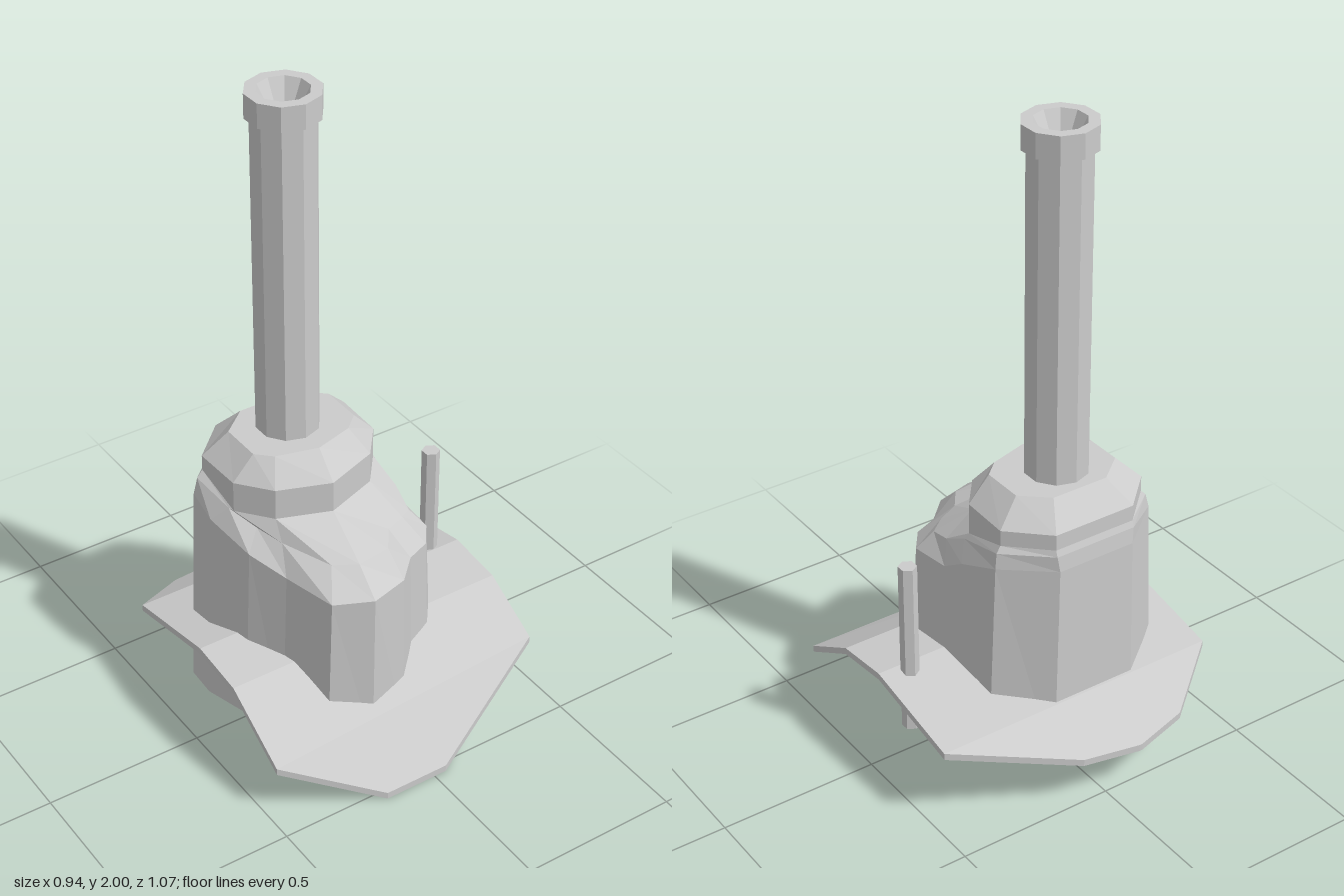
import * as THREE from 'three';

const material = new THREE.MeshStandardMaterial({ color: 0xcccccc, flatShading: true, side: THREE.DoubleSide });

function add(group, name, geometry) {
  const mesh = new THREE.Mesh(geometry, material);
  mesh.name = name;
  group.add(mesh);
  return mesh;
}

// Joins closed rings of [x, y, z] points into faceted walls, with optional end caps
function loft(rings, capStart, capEnd) {
  const positions = [];
  const tri = (a, b, c) => {
    const [p, q, r] = [a, b, c].map((v) => new THREE.Vector3(...v));
    if (new THREE.Triangle(p, q, r).getArea() > 1e-7) positions.push(...a, ...b, ...c);
  };
  const n = rings[0].length;
  for (let k = 0; k < rings.length - 1; k++) {
    for (let i = 0; i < n; i++) {
      const j = (i + 1) % n;
      const [a, b, c, d] = [rings[k][i], rings[k][j], rings[k + 1][j], rings[k + 1][i]];
      tri(a, d, c);
      tri(a, c, b);
    }
  }
  const first = rings[0], last = rings[rings.length - 1];
  for (let i = 1; i < n - 1; i++) {
    if (capStart) tri(first[0], first[i], first[i + 1]);
    if (capEnd) tri(last[0], last[i + 1], last[i]);
  }
  const geometry = new THREE.BufferGeometry();
  geometry.setAttribute('position', new THREE.Float32BufferAttribute(positions, 3));
  geometry.computeVertexNormals();
  return geometry;
}

function bodyGeometry() {
  // Wall outline from the back round the left side to the front: x, z, wall-top height
  const wall = [
    [-0.2, -0.347, 0.72], [0.07, -0.347, 0.72], [0.22, -0.23, 0.72], [0.235, -0.08, 0.66],
    [0.243, 0, 0.61], [0.245, 0.15, 0.59], [0.19, 0.22, 0.59], [0.11, 0.25, 0.59],
    [0.03, 0.325, 0.59], [-0.1, 0.358, 0.59], [-0.22, 0.305, 0.59], [-0.27, 0.14, 0.6],
    [-0.33, 0.03, 0.64], [-0.37, -0.12, 0.69], [-0.365, -0.22, 0.72],
  ];
  // Sloping ledge above the wall
  const ledge = [
    [-0.2, 0.77, -0.342], [0.07, 0.77, -0.342], [0.2, 0.77, -0.228], [0.19, 0.72, -0.05],
    [0.2, 0.68, 0.03], [0.185, 0.65, 0.12], [0.14, 0.66, 0.15], [0.07, 0.665, 0.18],
    [0.02, 0.66, 0.25], [-0.09, 0.66, 0.265], [-0.16, 0.66, 0.225], [-0.235, 0.68, 0.08],
    [-0.27, 0.7, 0], [-0.315, 0.74, -0.08], [-0.335, 0.77, -0.222],
  ];
  // Nine-cornered collar and top, each corner shared by the ring points listed
  const corner = [0, 1, 2, 3, 3, 4, 4, 4, 5, 5, 6, 6, 7, 7, 8];
  const collar = [[-0.2, -0.335], [0.07, -0.335], [0.185, -0.225], [0.18, -0.06], [0.1, 0.04],
    [-0.07, 0.1], [-0.23, 0.04], [-0.31, -0.06], [-0.315, -0.225]];
  const top = [[-0.155, -0.265], [0.03, -0.265], [0.11, -0.195], [0.11, -0.06], [0.06, -0.015],
    [-0.065, 0.02], [-0.195, -0.015], [-0.24, -0.06], [-0.24, -0.195]];
  const ring = (points, y) => corner.map((c) => [points[c][0], y, points[c][1]]);
  const widen = (x, s) => -0.065 + (x + 0.065) * s;
  const base = wall.map(([x, z]) => [widen(x, 1.04), 0.04, z]);
  const wallTop = wall.map(([x, z, y]) => [widen(x, 0.95), y, z]);
  const collarFoot = ring(collar, 0.74).map(([x, y, z], i) => [x, i < 3 || i > 13 ? 0.79 : y, z]);
  return loft([base, wallTop, ledge, collarFoot, ring(collar, 0.84), ring(top, 0.915)], false, true);
}

function sheetGeometry() {
  // Rows from front to back: left x, z, y and right x, z, y
  const rows = [
    [0.04, 0.535, 0.02, -0.17, 0.535, 0.02],
    [0.47, 0.37, 0.2, -0.47, 0.405, 0.17],
    [0.47, 0.175, 0.31, -0.47, 0.175, 0.31],
    [0.47, -0.01, 0.33, -0.47, -0.01, 0.33],
    [0.47, -0.355, 0.26, -0.47, -0.355, 0.26],
    [0.09, -0.512, 0.165, -0.27, -0.502, 0.17],
    [-0.095, -0.535, 0.15, -0.105, -0.535, 0.15],
  ];
  const t = 0.022;
  return loft(rows.map(([lx, lz, ly, rx, rz, ry]) => [
    [lx, ly, lz], [rx, ry, rz], [rx, ry - t, rz], [lx, ly - t, lz],
  ]), true, true);
}

export function createModel() {
  const group = new THREE.Group();
  group.name = 'chimneyOnRoof';

  add(group, 'roofSheet', sheetGeometry());
  add(group, 'body', bodyGeometry());

  // Tall ten-sided pipe with a rim and a hollow mouth
  const profile = [[0.097, 0.9], [0.097, 1.925], [0.111, 1.925], [0.111, 2], [0.077, 2], [0, 1.85]]
    .map(([r, y]) => new THREE.Vector2(r, y));
  add(group, 'chimneyPipe', new THREE.LatheGeometry(profile, 10)).position.set(-0.07, 0, -0.14);

  // Thin hexagonal vent
  add(group, 'ventPipe', new THREE.CylinderGeometry(0.028, 0.028, 0.57, 6)).position.set(0.38, 0.408, -0.04);

  return group;
}
